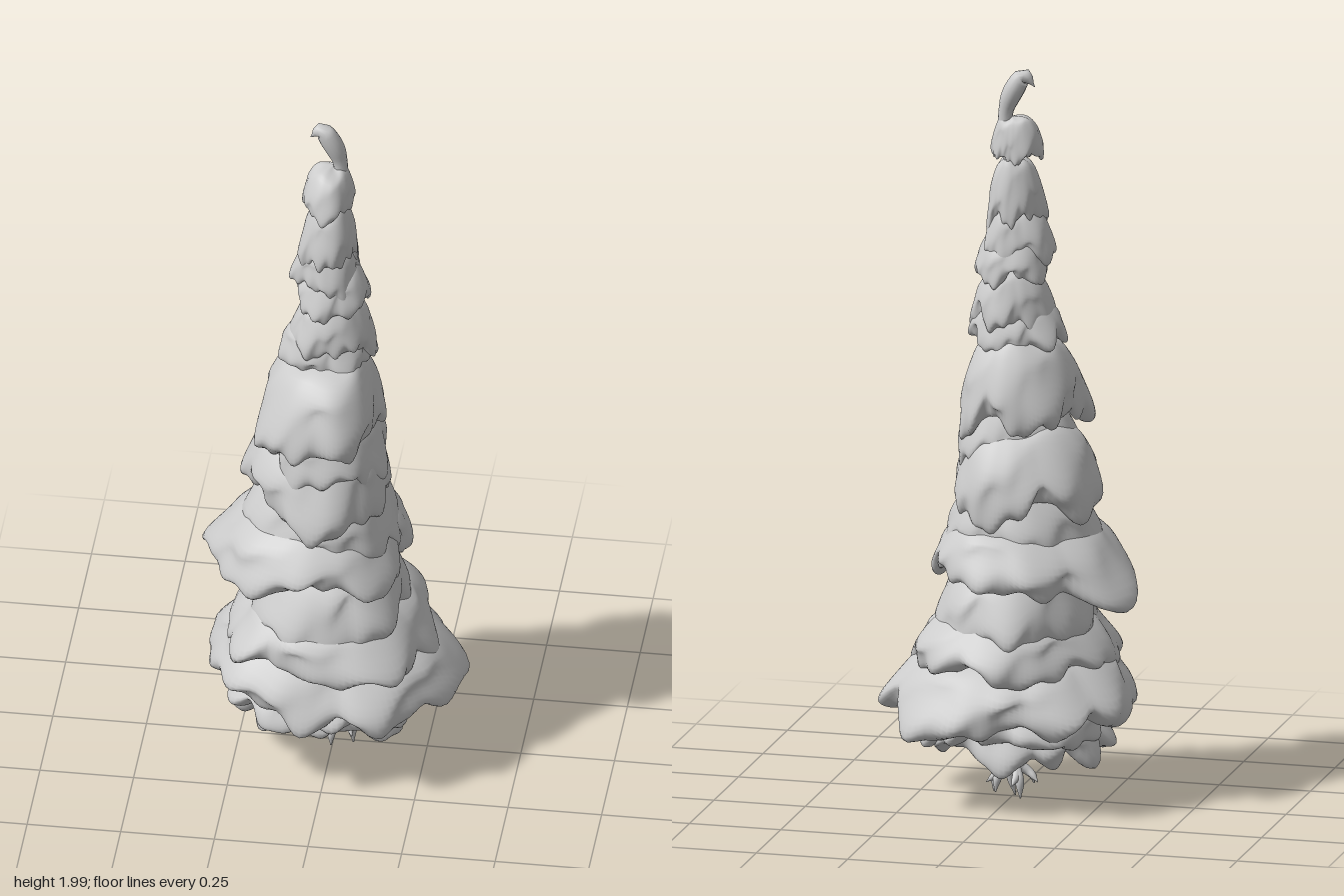
import * as THREE from 'three';

const material = new THREE.MeshStandardMaterial({ color: 0xcccccc, side: THREE.DoubleSide });
const V = (x, y, z) => new THREE.Vector3(x, y, z);

// Smooth closed-loop surface: point(u, angle) gives a position, u runs from 0 to 1
function loft(rows, cols, point) {
  const pos = [], index = [];
  for (let i = 0; i <= rows; i++) {
    for (let j = 0; j < cols; j++) {
      pos.push(...point(i / rows, (j / cols) * Math.PI * 2).toArray());
      if (i === rows) continue;
      const k = (j + 1) % cols, a = i * cols, b = a + cols;
      index.push(a + j, a + k, b + j, a + k, b + k, b + j);
    }
  }
  const geo = new THREE.BufferGeometry();
  geo.setAttribute('position', new THREE.Float32BufferAttribute(pos, 3));
  geo.setIndex(index);
  geo.computeVertexNormals();
  return geo;
}

// Tapered tube along a curve, radii spread evenly along its length
function limb(name, points, radii) {
  const curve = new THREE.CatmullRomCurve3(points);
  const taper = new THREE.SplineCurve(radii.map((r, i) => new THREE.Vector2(i, r)));
  const rows = 18, frames = curve.computeFrenetFrames(rows);
  const geo = loft(rows, 14, (u, a) => {
    const i = Math.round(u * rows), r = Math.max(0.0005, taper.getPoint(u).y);
    return curve.getPointAt(u)
      .addScaledVector(frames.normals[i], -Math.cos(a) * r)
      .addScaledVector(frames.binormals[i], Math.sin(a) * r);
  });
  const mesh = new THREE.Mesh(geo, material);
  mesh.name = name;
  return mesh;
}

// Skirt section: domed top, rounded rim, hollow underside (radius share, drop share)
const skirt = new THREE.SplineCurve([
  [0.01, 0], [0.34, 0.01], [0.62, 0.1], [0.82, 0.32], [0.95, 0.6], [1, 0.8],
  [0.97, 0.95], [0.88, 1], [0.77, 0.9], [0.6, 0.74], [0.3, 0.6], [0.08, 0.55],
].map(p => new THREE.Vector2(...p)));

// Drooping clump of foliage with soft uneven lobes; sagLeft and sagRight lower the -x and +x sides
function foliageTier(i, [top, rim, left, right, front, back, lobes, sagLeft = 0, sagRight = 0]) {
  const height = top - rim, phase = i * 2.4;
  const geo = loft(36, 112, (u, a) => {
    const p = skirt.getPoint(u), c = Math.cos(a), s = Math.sin(a);
    const rx = c > 0 ? right : left, rz = s > 0 ? front : back;
    const power = rim < 0.5 && s > 0 ? 2.8 : 2.15;
    const base = (Math.abs(c / rx) ** power + Math.abs(s / rz) ** power) ** (-1 / power);
    const warped = a + 0.25 * Math.sin(2 * a + phase) + 0.14 * Math.sin(3 * a - phase);
    const lobe = Math.sqrt(Math.sin(warped * lobes / 2 + phase) ** 2 + 0.02);
    const w = p.x * p.x;
    const ripple = Math.sin(a * 10 + phase + u * 9) + 0.7 * Math.sin(a * 17 - phase * 2 - u * 12);
    const swell = Math.sin(a * 3 + p.y * 6 + phase) + Math.sin(a * 5 - p.y * 9 + phase * 3);
    const r = base * p.x * (1 + w * (0.13 * (lobe - 0.8) + 0.016 * ripple) + 0.03 * swell);
    const sag = c < 0 ? sagLeft * c * c : sagRight * c * c;
    const y = top - w * sag - height * (p.y + w * p.y * (0.3 * (lobe - 0.7) + 0.05 * ripple)
      + 0.08 * p.x * Math.sin(a * 2 + phase) + 0.04 * p.x * swell);
    return V(r * c, y, r * s);
  });
  const mesh = new THREE.Mesh(geo, material);
  mesh.name = 'foliageTier' + (i + 1);
  return mesh;
}

export function createModel() {
  const tree = new THREE.Group();
  tree.name = 'tree';

  // Foliage: top, rim, radius to -x, +x, +z, -z, lobe count, sag at -x, sag at +x
  const tiers = [
    [0.30, 0.14, 0.25, 0.20, 0.21, 0.23, 10],
    [0.33, 0.19, 0.26, 0.24, 0.25, 0.25, 8],
    [0.43, 0.24, 0.34, 0.34, 0.28, 0.285, 6, 0, 0.03],
    [0.54, 0.37, 0.27, 0.27, 0.285, 0.26, 6],
    [0.68, 0.44, 0.22, 0.21, 0.25, 0.225, 5],
    [0.80, 0.63, 0.345, 0.20, 0.26, 0.255, 5, 0.07, 0.02],
    [0.90, 0.70, 0.24, 0.185, 0.20, 0.19, 5, 0, 0.04],
    [1.04, 0.81, 0.25, 0.15, 0.22, 0.20, 4],
    [1.11, 0.92, 0.18, 0.145, 0.195, 0.14, 5],
    [1.27, 1.04, 0.20, 0.14, 0.235, 0.16, 4],
    [1.37, 1.25, 0.145, 0.11, 0.105, 0.10, 5],
    [1.45, 1.30, 0.115, 0.11, 0.115, 0.10, 4],
    [1.55, 1.43, 0.105, 0.10, 0.10, 0.095, 4],
    [1.62, 1.49, 0.11, 0.07, 0.09, 0.08, 3],
    [1.75, 1.58, 0.09, 0.065, 0.095, 0.07, 4],
    [1.86, 1.75, 0.08, 0.055, 0.10, 0.045, 3],
  ];
  tiers.forEach((t, i) => tree.add(foliageTier(i, t)));

  // Bent crown tip
  tree.add(limb('crownTip',
    [V(0.02, 1.8, 0), V(0.016, 1.88, 0), V(-0.008, 1.94, 0.002), V(-0.032, 1.972, 0.004), V(-0.062, 1.945, 0)],
    [0.026, 0.02, 0.02, 0.026, 0.027, 0.02, 0]));

  // Trunk running up through the hollow foliage
  tree.add(limb('trunk', [V(0, 0.07, 0), V(0, 0.5, 0), V(0, 1.2, 0), V(0, 1.82, 0)],
    [0.022, 0.026, 0.03, 0.027, 0.022]));

  // Splayed roots, each with a forked side shoot
  for (let i = 0; i < 5; i++) {
    const a = i * Math.PI * 0.4 + 0.3, drop = 0.008 + (i % 3) * 0.014;
    const at = (r, y, turn = 0) => V(Math.cos(a + turn) * r, y, Math.sin(a + turn) * r);
    tree.add(limb('root', [at(0.005, 0.13), at(0.025, 0.085), at(0.05, 0.06), at(0.058, drop)],
      [0.02, 0.016, 0.013, 0.011, 0.002]));
    tree.add(limb('rootFork', [at(0.025, 0.085), at(0.047, 0.068, 0.15), at(0.072, 0.045, 0.4)],
      [0.012, 0.011, 0.009, 0.001]));
  }
  // Central tap root
  tree.add(limb('tapRoot', [V(0, 0.1, 0), V(0.004, 0.05, 0.004), V(-0.006, 0.002, 0.01)],
    [0.022, 0.014, 0.009, 0.002]));
  return tree;
}
